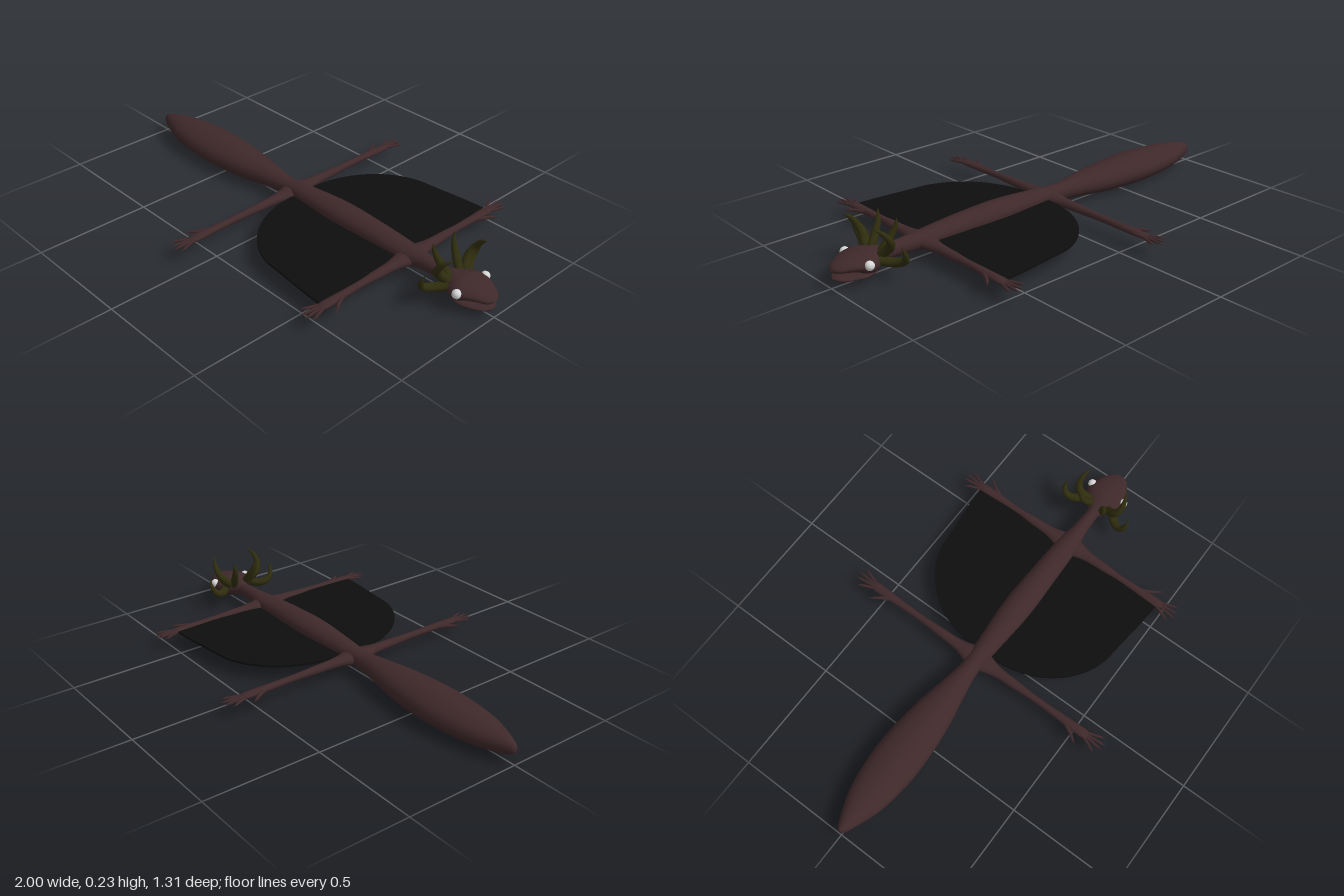
import * as THREE from 'three';

const mat = (name, color, side = THREE.FrontSide) => {
  const m = new THREE.MeshStandardMaterial({ color, side });
  m.name = name;
  return m;
};
const V = (x, y, z) => new THREE.Vector3(x, y, z);
const UP = V(0, 1, 0), FORWARD = V(1, 0, 0);

// Smooth skin over elliptical sections: [x, y, z, halfWidth, halfHeight]
function loft(sections, up = UP, rings = 40, sides = 16) {
  const path = new THREE.CatmullRomCurve3(sections.map(s => V(s[0], s[1], s[2])), false, 'catmullrom');
  const size = new THREE.CatmullRomCurve3(sections.map(s => V(s[3], s[4] ?? s[3], 0)), false, 'catmullrom');
  const pos = [], index = [];
  for (let i = 0; i <= rings; i++) {
    const t = i / rings, c = path.getPoint(t), r = size.getPoint(t), dir = path.getTangent(t);
    const side = dir.clone().cross(up).normalize();
    const top = side.clone().cross(dir);
    for (let j = 0; j < sides; j++) {
      const a = (j / sides) * Math.PI * 2;
      const p = c.clone()
        .addScaledVector(side, Math.max(r.x, 0) * Math.cos(a))
        .addScaledVector(top, Math.max(r.y, 0) * Math.sin(a));
      pos.push(p.x, p.y, p.z);
      if (i < rings) {
        const k = (j + 1) % sides, n = i * sides, m = n + sides;
        index.push(n + j, m + j, m + k, n + j, m + k, n + k);
      }
    }
  }
  const g = new THREE.BufferGeometry();
  g.setAttribute('position', new THREE.Float32BufferAttribute(pos, 3));
  g.setIndex(index);
  g.computeVertexNormals();
  return g;
}

export function createModel() {
  const model = new THREE.Group();
  const skin = mat('brown skin', 0x3e282a);
  const web = mat('black membrane', 0x0e0e0e, THREE.DoubleSide);
  const horn = mat('olive horn', 0x2f2d0e);
  const white = mat('eye white', 0xd6d6d6);

  const add = (name, geometry, material, parent = model) => {
    const mesh = new THREE.Mesh(geometry, material);
    mesh.name = name;
    parent.add(mesh);
    return mesh;
  };

  // Tail, trunk and neck in one skin
  add('body', loft([
    [-1, 0.065, 0, 0, 0], [-0.99, 0.065, 0, 0.017, 0.022], [-0.93, 0.065, 0, 0.045, 0.042],
    [-0.83, 0.066, 0, 0.08, 0.054], [-0.7, 0.066, 0, 0.099, 0.062], [-0.57, 0.066, 0, 0.102, 0.065],
    [-0.4, 0.066, 0, 0.086, 0.06], [-0.25, 0.068, 0, 0.058, 0.048], [-0.13, 0.068, 0, 0.04, 0.038],
    [0, 0.073, 0, 0.048, 0.042], [0.2, 0.078, 0, 0.062, 0.048], [0.4, 0.076, 0, 0.056, 0.046],
    [0.57, 0.072, 0, 0.048, 0.039], [0.66, 0.073, 0, 0.034, 0.034], [0.75, 0.073, 0, 0.028, 0.03],
    [0.8, 0.072, 0, 0.028, 0.028],
  ], UP, 100, 24), skin);

  // Head with an open mouth
  const head = new THREE.Group();
  head.name = 'head';
  model.add(head);
  add('skull', loft([
    [0.75, 0.073, 0, 0.02, 0.024], [0.79, 0.073, 0, 0.04, 0.036], [0.83, 0.073, 0, 0.075, 0.043],
    [0.87, 0.075, 0, 0.092, 0.044], [0.91, 0.081, 0, 0.08, 0.031], [0.95, 0.08, 0, 0.058, 0.023],
    [0.985, 0.074, 0, 0.034, 0.014], [1, 0.072, 0, 0, 0],
  ], UP, 40, 24), skin, head);
  add('lowerJaw', loft([
    [0.8, 0.05, 0, 0, 0], [0.83, 0.046, 0, 0.056, 0.02], [0.88, 0.04, 0, 0.077, 0.018],
    [0.93, 0.036, 0, 0.062, 0.013], [0.975, 0.036, 0, 0.037, 0.01], [0.995, 0.039, 0, 0, 0],
  ], UP, 32, 24), skin, head);

  // Horn paths for one side, mirrored in z
  const horns = {
    outerHorn: [[0.825, 0.08, 0.06, 0.018], [0.785, 0.075, 0.105, 0.019], [0.77, 0.09, 0.145, 0.015],
      [0.78, 0.125, 0.164, 0.009], [0.795, 0.162, 0.16, 0]],
    middleHorn: [[0.81, 0.095, 0.05, 0.019], [0.795, 0.13, 0.085, 0.019], [0.805, 0.165, 0.108, 0.015],
      [0.835, 0.205, 0.108, 0.009], [0.87, 0.23, 0.09, 0]],
    innerHorn: [[0.805, 0.085, 0.028, 0.018], [0.775, 0.13, 0.04, 0.017], [0.752, 0.17, 0.05, 0.013],
      [0.742, 0.2, 0.057, 0.008], [0.74, 0.23, 0.062, 0]],
  };

  for (const s of [1, -1]) {
    const label = s < 0 ? 'Back' : 'Front';
    for (const [name, path] of Object.entries(horns)) {
      add(name + label, loft(path.map(([x, y, z, r]) => [x, y, z * s, r]), FORWARD, 20, 10), horn, head);
    }
    add('eye' + label, new THREE.SphereGeometry(0.019, 20, 14), white, head).position.set(0.883, 0.086, 0.083 * s);

    // Limbs: x of the limb, ankle distance, and which way the thumb points
    for (const [name, x, reach, thumb] of [['hindLeg', -0.082, 0.57, -1], ['foreLeg', 0.582, 0.49, 1]]) {
      const limb = new THREE.Group();
      limb.name = name + label;
      model.add(limb);
      const at = (d, dx, w, h = w, y = 0.066) => [x + dx, y, d * s, w, h];
      add('leg', loft([
        at(0, 0, 0.06, 0.028), at(0.05, 0, 0.04, 0.024), at(0.11, 0, 0.025, 0.02),
        at(0.2, 0, 0.02, 0.018), at(reach * 0.55, 0, 0.015, 0.015), at(reach * 0.78, 0, 0.018, 0.014),
        at(reach * 0.9, 0, 0.021, 0.013), at(reach * 0.97, 0, 0.02, 0.01), at(reach + 0.015, 0, 0, 0),
      ], UP, 40, 14), skin, limb);
      // Four spread toes
      [[-0.042, 0.055], [-0.014, 0.08], [0.01, 0.083], [0.036, 0.065]].forEach(([dx, len], i) => {
        add('toe' + (i + 1), loft([
          at(reach - 0.025, dx * 0.2, 0.007), at(reach + len * 0.4, dx * 0.65, 0.006),
          at(reach + len * 0.7, dx * 0.85, 0.005), at(reach + len, dx, 0),
        ], UP, 10, 8), skin, limb);
      });
      add('thumb', loft([
        at(reach - 0.11, thumb * 0.008, 0.01), at(reach - 0.07, thumb * 0.03, 0.008),
        at(reach - 0.045, thumb * 0.048, 0.005), at(reach - 0.025, thumb * 0.062, 0),
      ], UP, 10, 8), skin, limb);
    }
  }

  // Gliding membrane stretched from the trunk to the forelegs
  const outline = new THREE.Shape();
  outline.moveTo(0.583, 0);
  outline.lineTo(0.583, 0.472);
  outline.bezierCurveTo(0.45, 0.468, 0.36, 0.45, 0.26, 0.443);
  outline.bezierCurveTo(0.13, 0.43, -0.035, 0.3, -0.046, 0.06);
  outline.lineTo(-0.04, 0);
  const sheet = new THREE.ExtrudeGeometry(outline, { depth: 0.01, bevelEnabled: false, curveSegments: 20 });
  sheet.rotateX(Math.PI / 2).translate(0, 0.071, 0);
  add('membraneFront', sheet, web);
  add('membraneBack', sheet.clone().rotateX(Math.PI).translate(0, 0.132, 0), web);

  return model;
}
